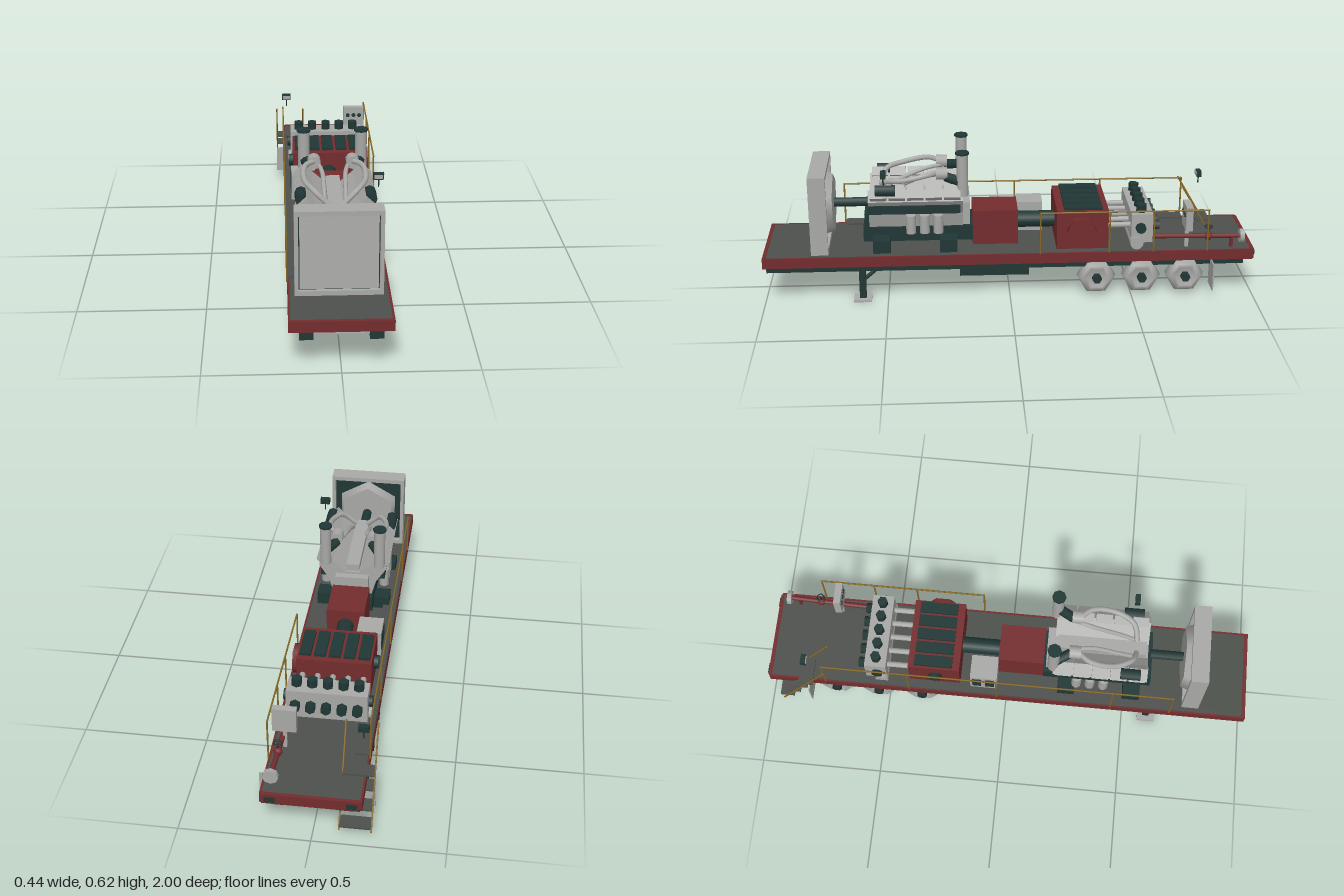
import * as THREE from 'three';

export function createModel() {
  const root = new THREE.Group();
  const mat = (name, color) => {
    const m = new THREE.MeshStandardMaterial({ color, side: THREE.DoubleSide });
    m.name = name;
    return m;
  };
  const grey = mat('light grey', 0xa8a8a6), dark = mat('dark green', 0x203735), red = mat('oxide red', 0x742c2e);
  const deckM = mat('deck grey', 0x4c504b), brass = mat('rail yellow', 0x8a6a25);
  const V = (x, y, z) => new THREE.Vector3(x, y, z);

  const add = (name, geo, m, x = 0, y = 0, z = 0) => {
    const mesh = new THREE.Mesh(geo, m);
    mesh.name = name;
    mesh.position.set(x, y, z);
    root.add(mesh);
    return mesh;
  };
  // box given by its limits
  const box = (name, m, x0, x1, y0, y1, z0, z1) =>
    add(name, new THREE.BoxGeometry(Math.abs(x1 - x0), Math.abs(y1 - y0), Math.abs(z1 - z0)), m,
      (x0 + x1) / 2, (y0 + y1) / 2, (z0 + z1) / 2);
  // cylinder between two points
  const rod = (name, m, a, b, r, seg = 12, r2 = r) => {
    const d = b.clone().sub(a);
    const mesh = add(name, new THREE.CylinderGeometry(r2, r, d.length(), seg), m);
    mesh.position.copy(a).add(b).multiplyScalar(0.5);
    mesh.quaternion.setFromUnitVectors(V(0, 1, 0), d.normalize());
    return mesh;
  };
  const tube = (name, m, pts, r) =>
    add(name, new THREE.TubeGeometry(new THREE.CatmullRomCurve3(pts.map(p => V(...p))), 24, r, 8), m);
  const sides = [-1, 1];

  // trailer deck and frame
  box('deckPlate', deckM, -0.18, 0.18, 0.196, 0.207, -0.985, 0.99);
  box('deckUnderside', dark, -0.18, 0.18, 0.185, 0.195, -0.985, 0.99);
  for (const s of sides) {
    box('sideRail', red, s * 0.18, s * 0.188, 0.165, 0.208, -0.99, 1);
    box('chassisBeam', dark, s * 0.1, s * 0.15, 0.13, 0.185, -0.96, 0.99);
    box('tailLight', dark, s * 0.13, s * 0.17, 0.175, 0.197, -1, -0.99);
  }
  box('frontRail', red, -0.18, 0.18, 0.165, 0.208, 0.985, 1);
  box('rearRail', red, -0.18, 0.18, 0.165, 0.208, -0.995, -0.98);
  for (let i = 0; i < 11; i++) box('crossMember', dark, -0.18, 0.18, 0.165, 0.186, -0.9 + i * 0.18, -0.885 + i * 0.18);
  box('couplingPlate', grey, -0.1, 0.1, 0.14, 0.146, 0.8, 0.97);
  rod('kingpin', grey, V(0, 0.115, 0.88), V(0, 0.142, 0.88), 0.007);
  box('bellyTank', dark, -0.107, 0.107, 0.08, 0.165, -0.08, 0.205);

  // landing legs
  for (const s of sides) {
    box('landingLeg', dark, s * 0.122, s * 0.149, 0.008, 0.165, 0.59, 0.617);
    box('landingFoot', grey, s * 0.097, s * 0.171, 0, 0.008, 0.568, 0.64);
    rod('legBrace', dark, V(s * 0.135, 0.085, 0.6), V(s * 0.135, 0.145, 0.53), 0.008, 6);
  }

  // three axles with six-sided wheels
  const tyre = [[0, 0.012], [0.04, 0.012], [0.045, 0], [0.062, 0.005], [0.075, 0.02], [0.08, 0.042],
    [0.075, 0.064], [0.062, 0.079], [0.045, 0.084], [0.04, 0.072], [0, 0.072]].map(p => new THREE.Vector2(...p));
  for (const z of [-0.355, -0.54, -0.72]) {
    rod('axle', dark, V(-0.12, 0.083, z), V(0.12, 0.083, z), 0.014, 8);
    for (const s of sides) {
      const wheel = add('wheel', new THREE.LatheGeometry(tyre, 6), grey, s * 0.087, 0.083, z);
      wheel.rotation.z = -s * Math.PI / 2;
      rod('wheelHub', dark, V(s * 0.15, 0.083, z), V(s * 0.18, 0.083, z), 0.02, 6);
      box('axleHanger', dark, s * 0.065, s * 0.085, 0.07, 0.165, z - 0.02, z + 0.02);
      box('leafSpring', dark, s * 0.065, s * 0.085, 0.1, 0.112, z - 0.08, z + 0.08);
    }
  }
  for (const s of sides) box('mudFlap', grey, s * 0.13, s * 0.22, 0.04, 0.155, -0.828, -0.823);

  // radiator
  box('radiatorCore', dark, -0.15, 0.15, 0.222, 0.525, 0.755, 0.79);
  for (const s of sides) box('radiatorSide', grey, s * 0.147, s * 0.162, 0.208, 0.54, 0.735, 0.805);
  box('radiatorTop', grey, -0.147, 0.147, 0.522, 0.54, 0.735, 0.805);
  box('radiatorBottom', grey, -0.147, 0.147, 0.208, 0.227, 0.735, 0.805);
  for (let i = 0; i < 10; i++) {
    const y = 0.246 + i * 0.0288;
    box('louvre', grey, -0.143, 0.143, y - 0.0138, y + 0.0138, 0.789, 0.797).rotation.x = -0.08;
  }
  rod('fanShroud', grey, V(0, 0.375, 0.756), V(0, 0.375, 0.715), 0.14, 6, 0.125);
  rod('fanHub', dark, V(0, 0.375, 0.72), V(0, 0.375, 0.58), 0.02, 8);

  // engine block, V section swept along z
  const vShape = new THREE.Shape([[-0.08, 0.29], [0.08, 0.29], [0.1, 0.36], [0.142, 0.425], [0.1, 0.462],
    [0.03, 0.4], [-0.03, 0.4], [-0.1, 0.462], [-0.142, 0.425], [-0.1, 0.36]].map(p => new THREE.Vector2(...p)));
  add('engineBlock', new THREE.ExtrudeGeometry(vShape, { depth: 0.38, bevelEnabled: false }), grey, 0, 0, 0.19);
  box('enginePan', dark, -0.09, 0.09, 0.235, 0.296, 0.15, 0.595);
  box('engineFrontCover', dark, -0.1, 0.1, 0.28, 0.36, 0.57, 0.588);
  box('flywheelHousing', grey, -0.07, 0.07, 0.26, 0.39, 0.16, 0.195);
  box('valleyCover', grey, -0.028, 0.028, 0.395, 0.43, 0.2, 0.56);
  for (const s of sides) {
    box('exhaustManifold', dark, s * 0.09, s * 0.135, 0.37, 0.405, 0.2, 0.57);
    for (let i = 0; i < 5; i++) {
      const cover = box('valveCover', grey, -0.03, 0.03, -0.02, 0.02, -0.033, 0.033);
      cover.position.set(s * 0.118, 0.452, 0.232 + i * 0.074);
      cover.rotation.z = -s * 0.75;
    }
    for (const z of [0.25, 0.52]) box('engineMount', dark, s * 0.08, s * 0.155, 0.208, 0.262, z - 0.035, z + 0.035);
    for (const z of [0.29, 0.345, 0.4]) rod('filter', grey, V(s * 0.125, 0.285, z), V(s * 0.125, 0.362, z), 0.02, 10);
    rod('airCleaner', dark, V(s * 0.13, 0.47, 0.46), V(s * 0.13, 0.47, 0.54), 0.024, 8);
    tube('chargePipe', grey, [[s * 0.06, 0.525, 0.27], [s * 0.11, 0.525, 0.33], [s * 0.115, 0.505, 0.43],
      [s * 0.08, 0.49, 0.5], [s * 0.025, 0.44, 0.52]], 0.011);
    tube('valleyPipe', grey, [[s * 0.06, 0.51, 0.27], [s * 0.045, 0.5, 0.34], [s * 0.04, 0.45, 0.46], [s * 0.035, 0.42, 0.52]], 0.009);
    rod('turbocharger', grey, V(s * 0.075, 0.52, 0.295), V(s * 0.075, 0.52, 0.25), 0.026, 10);
    rod('turboCompressor', dark, V(s * 0.075, 0.505, 0.255), V(s * 0.11, 0.495, 0.2), 0.02, 8);
    rod('exhaustStack', grey, V(s * 0.113, 0.44, 0.19), V(s * 0.113, 0.616, 0.19), 0.023, 16);
    rod('stackCap', dark, V(s * 0.113, 0.614, 0.19), V(s * 0.113, 0.623, 0.19), 0.028, 8);
  }

  // gearbox, drive shaft and control cabinet
  box('gearbox', red, -0.078, 0.078, 0.208, 0.355, -0.035, 0.15);
  rod('driveShaft', dark, V(0, 0.285, -0.03), V(0, 0.285, -0.2), 0.034, 12);
  box('controlCabinet', grey, -0.16, -0.06, 0.208, 0.335, -0.145, -0.035);
  for (const z of [-0.118, -0.065]) box('cabinetDoor', dark, -0.163, -0.16, 0.25, 0.32, z - 0.018, z + 0.018);

  // pump power end
  box('pumpPowerEnd', red, -0.15, 0.145, 0.208, 0.373, -0.4, -0.19);
  for (let i = 0; i < 5; i++) {
    const x = -0.118 + i * 0.058;
    box('pumpTopCover', dark, x - 0.023, x + 0.023, 0.37, 0.384, -0.375, -0.22);
  }
  rod('pumpSideCover', red, V(0.14, 0.292, -0.29), V(0.172, 0.292, -0.29), 0.06, 6);
  rod('pumpOilCooler', dark, V(-0.168, 0.305, -0.29), V(-0.14, 0.305, -0.29), 0.027, 8);

  // pump fluid end
  box('fluidEnd', grey, -0.157, 0.157, 0.235, 0.357, -0.58, -0.492);
  rod('suctionManifold', grey, V(-0.168, 0.235, -0.515), V(0.168, 0.235, -0.515), 0.027, 12);
  for (let i = 0; i < 5; i++) {
    const x = -0.12 + i * 0.06;
    rod('plungerRod', grey, V(x, 0.3, -0.395), V(x, 0.3, -0.5), 0.012, 8);
    rod('valveCap', dark, V(x, 0.35, -0.535), V(x, 0.39, -0.535), 0.021, 6);
    rod('coverNut', dark, V(x, 0.297, -0.575), V(x, 0.297, -0.61), 0.021, 6);
  }
  for (const s of sides) rod('fluidEndFlange', dark, V(s * 0.15, 0.3, -0.53), V(s * 0.172, 0.3, -0.53), 0.022, 8);

  // discharge line and gauge panel
  rod('dischargePipe', red, V(0.14, 0.255, -0.58), V(0.152, 0.255, -0.94), 0.01, 10);
  add('dischargeValve', new THREE.SphereGeometry(0.018, 10, 8), red, 0.148, 0.255, -0.81);
  rod('valveStem', dark, V(0.148, 0.255, -0.81), V(0.148, 0.295, -0.81), 0.004, 6);
  add('valveWheel', new THREE.TorusGeometry(0.015, 0.003, 6, 12), dark, 0.148, 0.295, -0.81).rotation.x = Math.PI / 2;
  rod('dischargeFlange', grey, V(0.152, 0.255, -0.937), V(0.152, 0.255, -0.955), 0.03, 8);
  box('pipeStand', red, 0.142, 0.162, 0.2, 0.25, -0.91, -0.9);
  box('gaugePanel', grey, 0.09, 0.182, 0.29, 0.392, -0.738, -0.71);
  box('panelPost', grey, 0.128, 0.143, 0.205, 0.29, -0.73, -0.715);
  for (const x of [0.11, 0.136, 0.162]) rod('gauge', dark, V(x, 0.355, -0.712), V(x, 0.355, -0.706), 0.009, 10);

  // side walkway and handrails
  box('walkway', deckM, -0.187, -0.13, 0.218, 0.226, -0.75, 0.68);
  const handrail = (x, posts) => {
    rod('railTop', brass, V(x, 0.383, posts[0]), V(x, 0.383, posts[posts.length - 1]), 0.0035, 6);
    for (const z of posts) rod('railPost', brass, V(x, 0.207, z), V(x, 0.385, z), 0.0035, 6);
  };
  handrail(-0.189, [0.685, 0.44, -0.035, -0.4, -0.75]);
  handrail(0.187, [-0.12, -0.4, -0.58, -0.8]);

  // boarding steps
  for (const x of [-0.217, -0.097]) rod('stepRail', brass, V(x, 0.378, -0.74), V(x, 0.02, -0.95), 0.0035, 6);
  for (const y of [0.22, 0.175, 0.11, 0.05]) {
    const z = -0.74 - 0.583 * (0.38 - y);
    box('stepTread', deckM, -0.215, -0.099, y - 0.004, y + 0.004, z - 0.03, z + 0.03);
  }

  // work lamps
  const lamp = (x, y, z, dir) => {
    box('lampBody', dark, x - 0.02, x + 0.02, y - 0.012, y + 0.012, z - 0.01, z + 0.01);
    box('lampGlass', grey, x - 0.016, x + 0.016, y - 0.008, y + 0.008, z + dir * 0.01, z + dir * 0.013);
    rod('lampStem', dark, V(x, y - 0.045, z), V(x, y - 0.01, z), 0.003, 6);
  };
  lamp(0.16, 0.55, 0.505, 1);
  lamp(-0.172, 0.41, -0.82, 1);

  return root;
}
